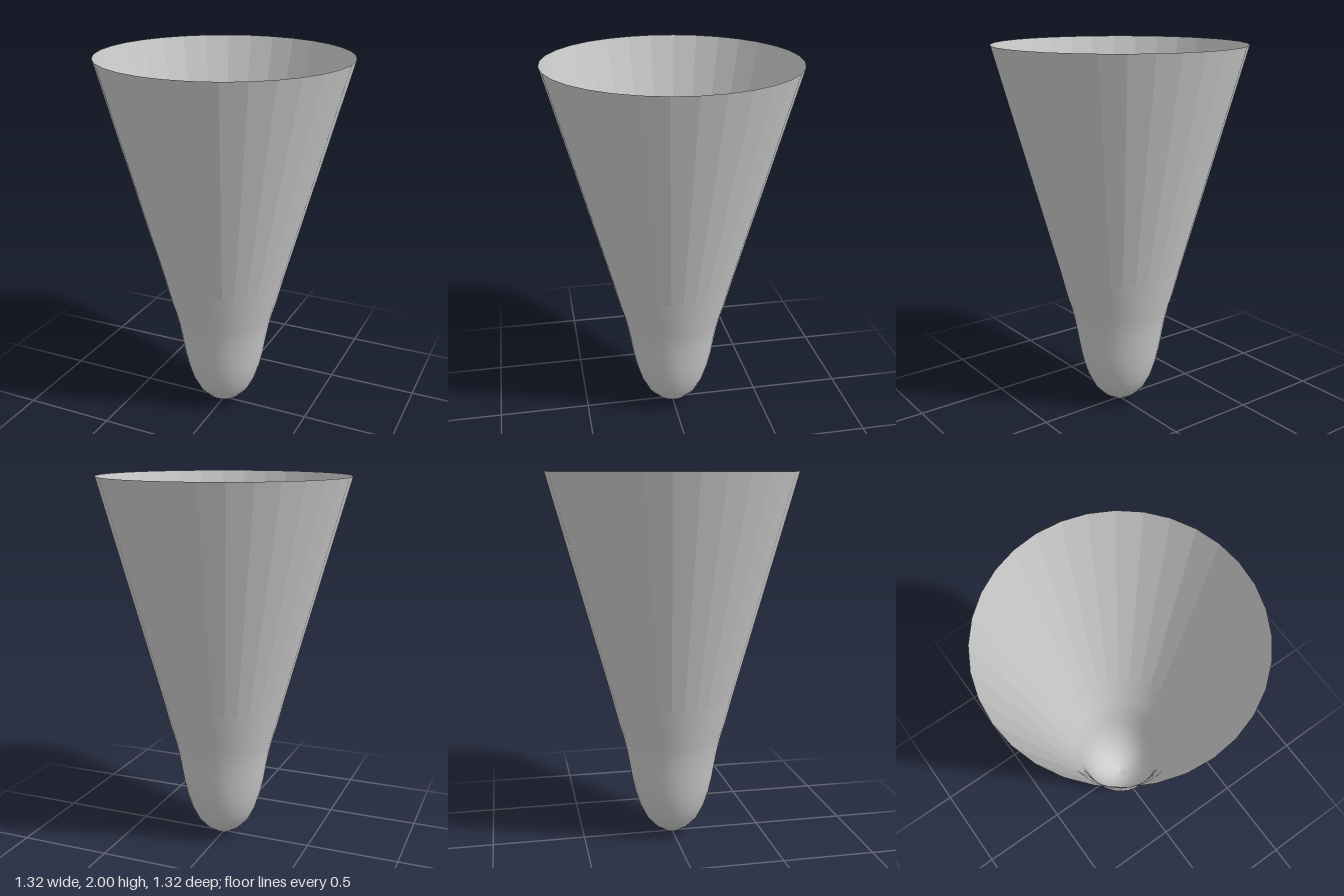
import * as THREE from 'three';

const SIDES = 32;
const RIM_RADIUS = 0.66;
const JOIN_RADIUS = 0.333;
const JOIN_HEIGHT = 0.8;

function shell(name, geometry, flatShading) {
  const material = new THREE.MeshStandardMaterial({
    color: 0xcccccc, side: THREE.DoubleSide, flatShading,
  });
  const mesh = new THREE.Mesh(geometry, material);
  mesh.name = name;
  return mesh;
}

export function createModel() {
  const group = new THREE.Group();
  group.name = 'openCone';

  // rounded tip, smooth, flaring out to meet the cone wall
  const profile = [
    [0, 0], [0.05, 0.015], [0.097, 0.047], [0.144, 0.097], [0.181, 0.17],
    [0.206, 0.25], [0.224, 0.33], [0.239, 0.42], [0.254, 0.5],
    [0.272, 0.575], [0.295, 0.65], [JOIN_RADIUS, JOIN_HEIGHT],
  ].map(([r, y]) => new THREE.Vector2(r, y));
  group.add(shell('roundedTip', new THREE.LatheGeometry(profile, SIDES), false));

  // faceted cone wall, open at the top
  const height = 2 - JOIN_HEIGHT;
  const wall = new THREE.CylinderGeometry(RIM_RADIUS, JOIN_RADIUS, height, SIDES, 1, true);
  wall.translate(0, JOIN_HEIGHT + height / 2, 0);
  group.add(shell('coneWall', wall, true));

  return group;
}
